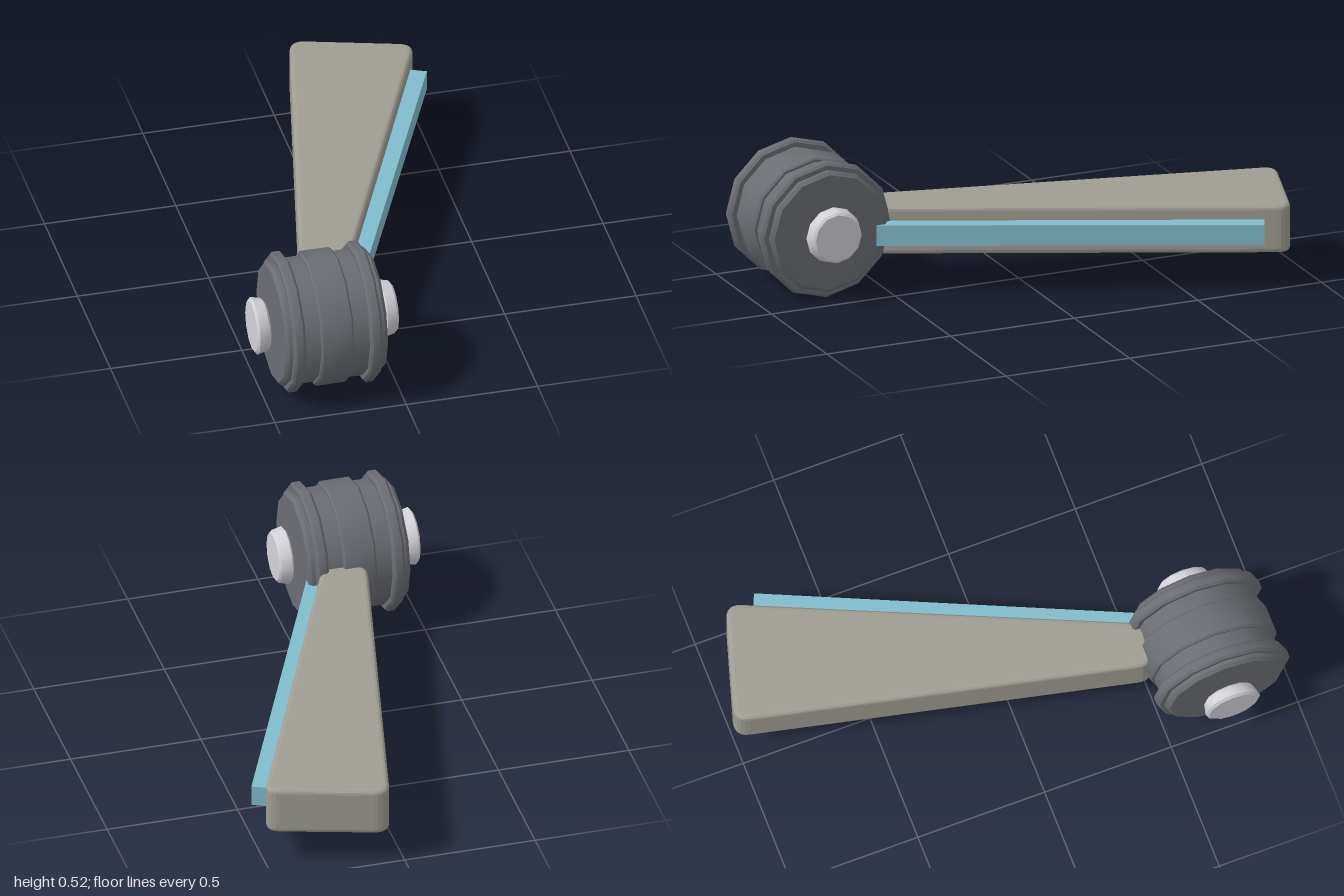
import * as THREE from 'three';
import { toCreasedNormals } from 'three/addons/utils/BufferGeometryUtils.js';

const AXLE_Y = 0.2625, AXLE_Z = 0.7375;

function material(name, color) {
  const m = new THREE.MeshStandardMaterial({ color });
  m.name = name;
  return m;
}

// Twelve-sided solid turned about the x axis; profile is [x, radius] pairs
function turned(name, profile, mat) {
  const pts = profile.map(([x, r]) => new THREE.Vector2(r, x));
  const geo = new THREE.LatheGeometry(pts, 12).rotateZ(-Math.PI / 2);
  const mesh = new THREE.Mesh(toCreasedNormals(geo, 0.6), mat);
  mesh.name = name;
  mesh.position.set(0, AXLE_Y, AXLE_Z);
  return mesh;
}

// Chamfered disc between x0 and x1
function disc(name, x0, x1, r, c, mat) {
  return turned(name, [[x0, 0], [x0, r - c], [x0 + c, r], [x1 - c, r], [x1, r - c], [x1, 0]], mat);
}

// Polygon whose corners are rounded by a cut of length d
function roundedShape(corners, d) {
  const v = corners.map(([x, y]) => new THREE.Vector2(x, y));
  const shape = new THREE.Shape();
  v.forEach((p, i) => {
    const prev = v[(i + v.length - 1) % v.length], next = v[(i + 1) % v.length];
    const a = p.clone().add(prev.clone().sub(p).setLength(d));
    const b = p.clone().add(next.clone().sub(p).setLength(d));
    if (i === 0) shape.moveTo(a.x, a.y); else shape.lineTo(a.x, a.y);
    shape.quadraticCurveTo(p.x, p.y, b.x, b.y);
  });
  shape.closePath();
  return shape;
}

export function createModel() {
  const model = new THREE.Group();
  const darkGrey = material('dark grey', 0x6b6d73);
  const stone = material('warm grey', 0x9f9d93);
  const blue = material('pale blue', 0x7fbdcc);
  const silver = material('silver', 0xd2d2d8);

  // Drum with two rims and a raised centre band
  model.add(disc('drum', -0.448, -0.059, 0.2355, 0.012, darkGrey));
  model.add(disc('leftRim', -0.131, -0.085, 0.2625, 0.009, darkGrey));
  model.add(disc('rightRim', -0.422, -0.376, 0.2625, 0.009, darkGrey));
  model.add(disc('centreBand', -0.316, -0.191, 0.2515, 0.007, darkGrey));

  // Tapered hub caps, both narrowing towards +x
  [['rightHubCap', -0.523], ['leftHubCap', -0.038]].forEach(([name, x]) => {
    model.add(turned(name, [[x, 0], [x, 0.096], [x + 0.008, 0.108],
      [x + 0.046, 0.099], [x + 0.054, 0.09], [x + 0.054, 0]], silver));
  });

  // Wedge-shaped arm, widening away from the drum
  const bevel = 0.017, top = 0.317, bottom = 0.131;
  const outline = roundedShape([[0.06, -1.014], [0.505, -0.879], [-0.114, 0.54], [-0.283, 0.515]], 0.06);
  const armGeo = new THREE.ExtrudeGeometry(outline, {
    depth: top - bottom - 2 * bevel, bevelThickness: bevel, bevelSize: bevel,
    bevelOffset: -bevel, bevelSegments: 3, curveSegments: 6,
  }).rotateX(Math.PI / 2).translate(0, top - bevel, 0);
  const arm = new THREE.Mesh(armGeo, stone);
  arm.name = 'arm';
  model.add(arm);

  // Strip along the arm's left side
  const strip = new THREE.Mesh(new THREE.BoxGeometry(0.075, 0.08, 1.433), blue);
  strip.name = 'sideStrip';
  strip.rotation.y = -Math.atan2(0.58, 1.31);
  strip.position.set(0.196, 0.224, -0.12);
  model.add(strip);

  return model;
}
